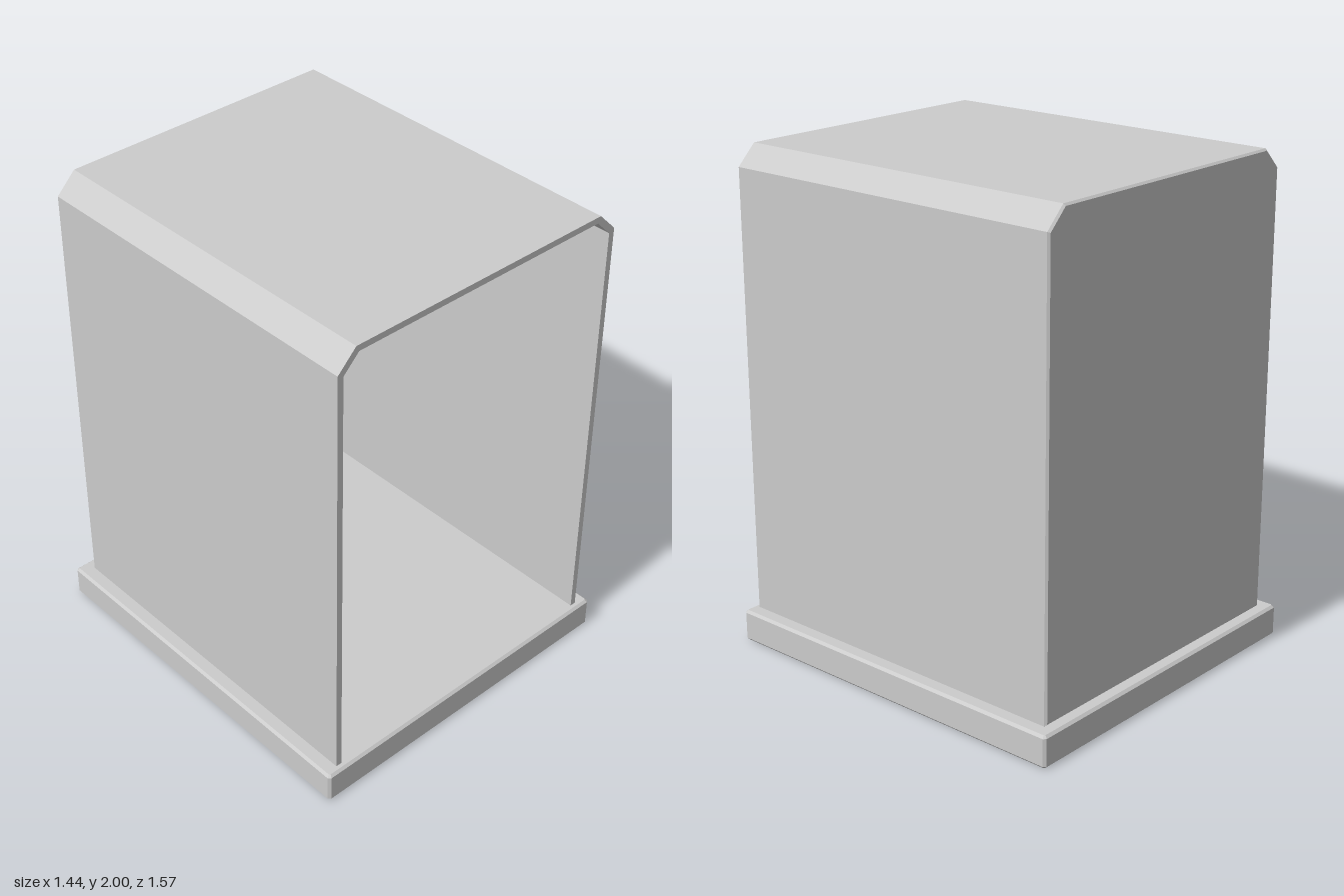
import * as THREE from 'three';

const FLOOR = 0.13, TOP = 2, HALF = 0.66, WALL = 0.025;
const material = new THREE.MeshStandardMaterial({ color: 0xcccccc, flatShading: true, side: THREE.DoubleSide });

function addMesh(parent, name, geometry) {
  const mesh = new THREE.Mesh(geometry, material);
  mesh.name = name;
  parent.add(mesh);
  return mesh;
}

// Arch with chamfered shoulders, from bottom left to bottom right
function arch(inset) {
  const x = HALF - inset, y = TOP - inset, c = 0.08 - inset * 0.5;
  return [[-x, FLOOR], [-x, y - c], [-x + c, y], [x - c, y], [x, y - c], [x, FLOOR]]
    .map(([px, py]) => new THREE.Vector2(px, py));
}

// Rectangle with small chamfered corners at height y
function ring([hx, hz, cz, y, c]) {
  return [
    [hx, hz - c], [hx - c, hz], [c - hx, hz], [-hx, hz - c],
    [-hx, c - hz], [c - hx, -hz], [hx - c, -hz], [hx, c - hz],
  ].map(([x, z]) => [x, y, z + cz]);
}

// Skin through successive rings, closed by a fan at each end
function loft(sections) {
  const rings = sections.map(ring), n = 8, pos = [];
  const tri = (a, b, c) => pos.push(...a, ...b, ...c);
  for (let r = 0; r < rings.length - 1; r++) {
    for (let i = 0; i < n; i++) {
      const j = (i + 1) % n, a = rings[r], b = rings[r + 1];
      tri(a[i], b[j], a[j]);
      tri(a[i], b[i], b[j]);
    }
  }
  const first = rings[0], last = rings[rings.length - 1];
  for (let i = 1; i < n - 1; i++) {
    tri(first[0], first[i], first[i + 1]);
    tri(last[0], last[i + 1], last[i]);
  }
  const geometry = new THREE.BufferGeometry();
  geometry.setAttribute('position', new THREE.Float32BufferAttribute(pos, 3));
  geometry.computeVertexNormals();
  return geometry;
}

export function createModel() {
  const model = new THREE.Group();
  model.name = 'openCabinet';

  // Base slab with bevelled edges and a tapered slot underneath:
  // [half width, half depth, z centre, height, corner chamfer]
  addMesh(model, 'base', loft([
    [0.215, 0.08, 0.215, 0.075, 0.005],
    [0.24, 0.105, 0.215, 0, 0.005],
    [0.708, 0.775, 0, 0, 0.005],
    [0.718, 0.785, 0, 0.01, 0.01],
    [0.718, 0.785, 0, 0.12, 0.01],
    [0.708, 0.775, 0, FLOOR, 0.005],
  ]));

  // Side walls and roof, open at the front
  const shellShape = new THREE.Shape([...arch(0), ...arch(WALL).reverse()]);
  const shell = addMesh(model, 'wallsAndRoof',
    new THREE.ExtrudeGeometry(shellShape, { depth: 1.49, bevelEnabled: false }));
  shell.position.z = -0.73;

  // Back panel with a fine edge bevel
  const back = addMesh(model, 'backPanel', new THREE.ExtrudeGeometry(new THREE.Shape(arch(0)), {
    depth: 0.01, bevelThickness: 0.008, bevelSize: 0.008, bevelOffset: -0.008, bevelSegments: 1,
  }));
  back.position.z = -0.732;

  return model;
}
